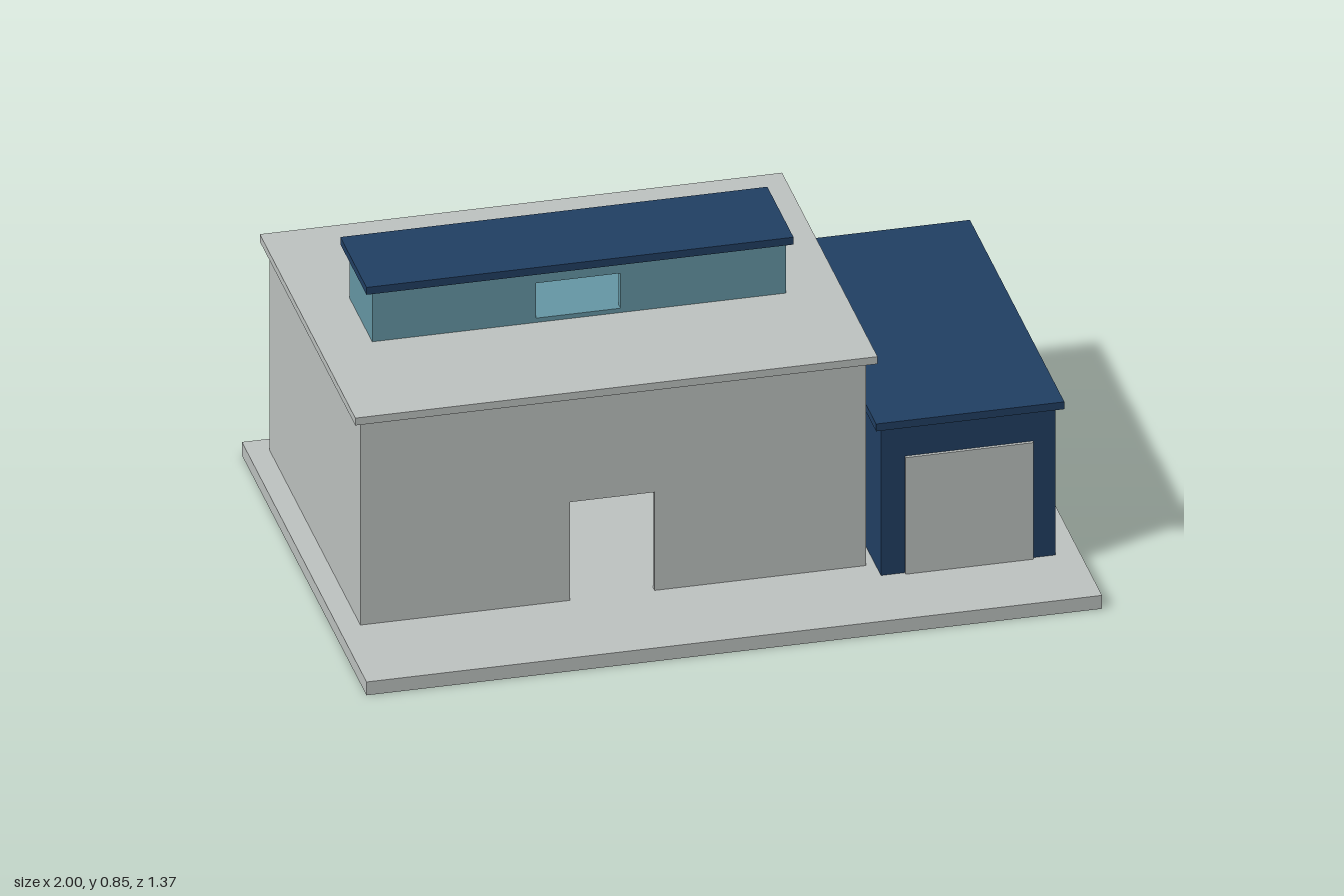
import * as THREE from 'three';

const mat = (name, color, extra) => Object.assign(new THREE.MeshStandardMaterial({ color }), { name });

export function createModel() {
  const concrete = mat('pale concrete', 0xbfc4c2);
  const navy = mat('navy cladding', 0x214064);
  const glass = mat('teal glazing', 0x6698a6);

  const model = new THREE.Group();
  model.name = 'building';

  // Box given by its extents on each axis
  const box = (parent, name, material, [x0, x1], [y0, y1], [z0, z1]) => {
    const mesh = new THREE.Mesh(new THREE.BoxGeometry(x1 - x0, y1 - y0, z1 - z0), material);
    mesh.position.set((x0 + x1) / 2, (y0 + y1) / 2, (z0 + z1) / 2);
    mesh.name = name;
    parent.add(mesh);
  };

  // Hollow room with one rectangular opening through its front wall
  const room = (name, material, [x0, x1], [y0, y1], [z0, z1], [ox0, ox1], [oy0, oy1]) => {
    const t = 0.02;
    const group = new THREE.Group();
    group.name = name;
    const v = (x, y) => new THREE.Vector2(x, y);
    let shape;
    if (oy0 > y0) {
      shape = new THREE.Shape([v(x0, y0), v(x1, y0), v(x1, y1), v(x0, y1)]);
      shape.holes.push(new THREE.Path([v(ox0, oy0), v(ox0, oy1), v(ox1, oy1), v(ox1, oy0)]));
    } else {
      shape = new THREE.Shape([v(x0, y0), v(ox0, y0), v(ox0, oy1), v(ox1, oy1),
        v(ox1, y0), v(x1, y0), v(x1, y1), v(x0, y1)]);
    }
    const front = new THREE.Mesh(
      new THREE.ExtrudeGeometry(shape, { depth: t, bevelEnabled: false }), material);
    front.position.z = z1 - t;
    front.name = 'frontWall';
    group.add(front);
    box(group, 'backWall', material, [x0, x1], [y0, y1], [z0, z0 + t]);
    box(group, 'rightWall', material, [x0, x0 + t], [y0, y1], [z0 + t, z1 - t]);
    box(group, 'leftWall', material, [x1 - t, x1], [y0, y1], [z0 + t, z1 - t]);
    if (oy0 > y0) box(group, 'floor', material, [x0 + t, x1 - t], [y0, oy0], [z0 + t, z1 - t]);
    model.add(group);
  };

  // Ground slab
  box(model, 'groundSlab', concrete, [-1, 1], [0, 0.04], [-0.685, 0.685]);

  // Main hall with doorway and overhanging roof
  room('mainHall', concrete, [-0.94, 0.435], [0.04, 0.655], [-0.625, 0.375],
    [-0.37, -0.14], [0.04, 0.335]);
  box(model, 'mainRoof', concrete, [-0.96, 0.46], [0.655, 0.677], [-0.65, 0.4]);

  // Glazed roof lantern with window opening
  room('roofLantern', glass, [-0.815, 0.31], [0.677, 0.83], [-0.248, 0],
    [-0.37, -0.14], [0.69, 0.795]);
  box(model, 'lanternRoof', navy, [-0.835, 0.326], [0.83, 0.852], [-0.27, 0.018]);

  // Roof vents
  for (const x of [-0.628, -0.252, 0.123]) {
    box(model, 'roofVent', concrete, [x - 0.037, x + 0.037], [0.677, 0.747], [-0.412, -0.34]);
  }

  // Side garage
  box(model, 'garage', navy, [0.46, 0.935], [0.04, 0.485], [-0.56, 0.438]);
  box(model, 'garageRoof', navy, [0.442, 0.954], [0.485, 0.507], [-0.582, 0.457]);
  box(model, 'garageDoor', concrete, [0.525, 0.873], [0.04, 0.39], [0.438, 0.447]);

  return model;
}
